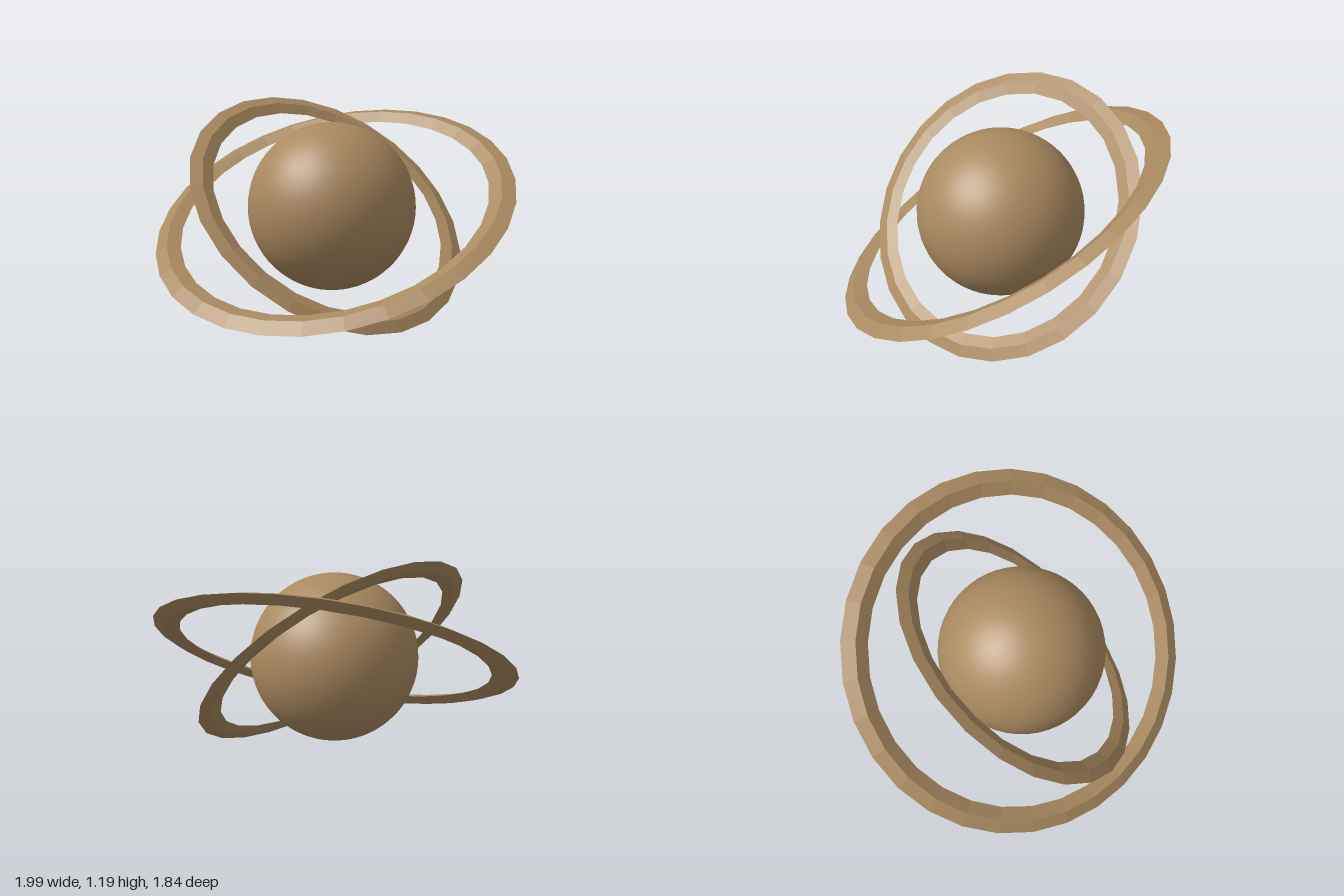
import * as THREE from 'three';

const bronze = new THREE.MeshStandardMaterial({ color: 0xa98a60 });
bronze.name = 'bronze';

// Flat-faceted ring with a diamond cross-section, its axis along `axis`
function makeRing(name, radius, halfWidth, halfThickness, segments, axis) {
  const torus = new THREE.TorusGeometry(radius, halfWidth, 4, segments);
  torus.scale(1, 1, halfThickness / halfWidth);
  const geometry = torus.toNonIndexed();
  geometry.computeVertexNormals();
  const ring = new THREE.Mesh(geometry, bronze);
  ring.name = name;
  ring.quaternion.setFromUnitVectors(new THREE.Vector3(0, 0, 1), axis.normalize());
  return ring;
}

export function createModel() {
  const model = new THREE.Group();
  model.name = 'ringedGlobe';

  // Smooth central globe
  const globe = new THREE.Mesh(new THREE.SphereGeometry(0.472, 48, 32), bronze);
  globe.name = 'globe';

  // Two tilted rings around the globe
  const innerRing = makeRing('innerRing', 0.775, 0.066, 0.018, 24, new THREE.Vector3(1, 1, 0));
  const outerRing = makeRing('outerRing', 0.953, 0.073, 0.03, 30, new THREE.Vector3(0.228, 0.871, 0.435));

  for (const part of [globe, innerRing, outerRing]) {
    part.position.y = 0.6;
    model.add(part);
  }
  return model;
}
